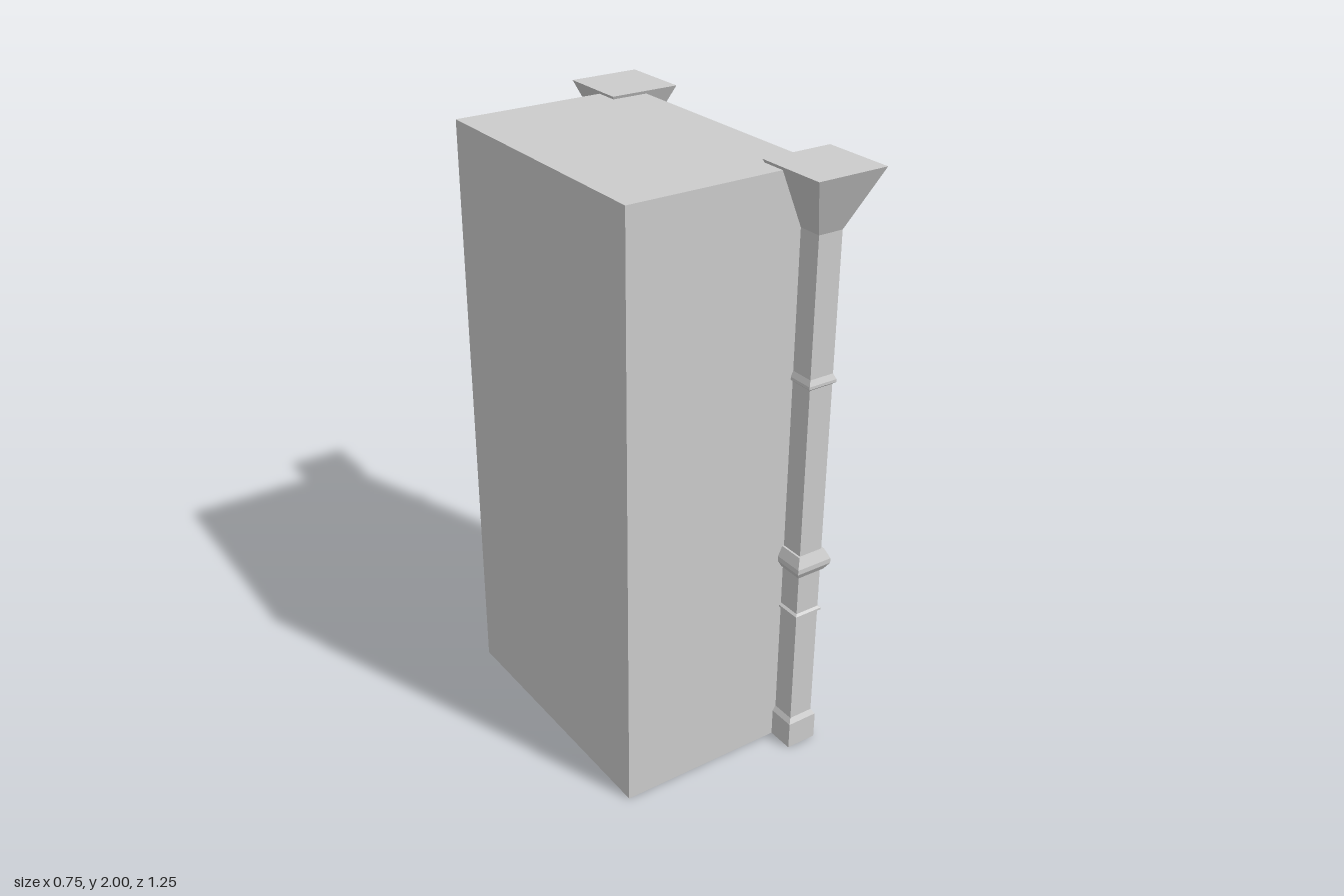
import * as THREE from 'three';

export function createModel() {
  const model = new THREE.Group();
  const mat = new THREE.MeshStandardMaterial({ color: 0xcccccc, flatShading: true });

  const add = (name, geometry) => {
    const mesh = new THREE.Mesh(geometry, mat);
    mesh.name = name;
    model.add(mesh);
    return mesh;
  };
  // Box given by its limits on each axis
  const box = (name, x0, x1, y0, y1, z0, z1) =>
    add(name, new THREE.BoxGeometry(x1 - x0, y1 - y0, z1 - z0))
      .position.set((x0 + x1) / 2, (y0 + y1) / 2, (z0 + z1) / 2);
  const trace = (path, half, y0, y1) => {
    path.moveTo(-half, y0);
    path.lineTo(half, y0);
    path.lineTo(half, y1);
    path.lineTo(-half, y1);
    path.closePath();
    return path;
  };

  const back = -0.38, inner = -0.02, front = 0.26;
  const halfWidth = 0.4675, top = 1.99;

  // Solid rear of the cabinet
  box('cabinetBack', back, inner, 0, top, -halfWidth, halfWidth);

  // Front frame with the shelf opening and the door opening
  const frame = trace(new THREE.Shape(), halfWidth, 0, top);
  frame.holes.push(
    trace(new THREE.Path(), 0.413, 0.725, 1.755),
    trace(new THREE.Path(), 0.405, 0.07, 0.61)
  );
  const frameGeometry = new THREE.ExtrudeGeometry(frame, { depth: front - inner, bevelEnabled: false });
  frameGeometry.rotateY(Math.PI / 2);
  add('cabinetFrame', frameGeometry).position.x = inner;

  // Shelves, set back from the frame
  for (const y of [0.965, 1.235, 1.505]) box('shelf', inner, 0.215, y, y + 0.025, -0.413, 0.413);

  // Pair of recessed doors with a groove and small latch between them
  box('leftDoor', inner, 0.243, 0.07, 0.61, -0.405, -0.0075);
  box('rightDoor', inner, 0.243, 0.07, 0.61, 0.0075, 0.405);
  box('doorGroove', inner, 0.228, 0.07, 0.61, -0.0075, 0.0075);
  box('latch', 0.225, 0.24, 0.318, 0.342, -0.0075, 0.0075);

  // Square columns: half-width and height pairs from plinth to flared capital
  const profile = [
    [0, 0], [0.054, 0], [0.054, 0.095], [0.043, 0.112],
    [0.043, 0.517], [0.051, 0.519], [0.051, 0.526], [0.043, 0.532],
    [0.043, 0.675], [0.05, 0.675], [0.065, 0.7], [0.065, 0.717], [0.05, 0.75], [0.043, 0.75],
    [0.043, 1.328], [0.051, 1.335], [0.051, 1.344], [0.043, 1.362],
    [0.043, 1.81], [0.122, 2], [0, 2]
  ].map(([half, y]) => new THREE.Vector2(half * Math.SQRT2, y));
  const columnGeometry = new THREE.LatheGeometry(profile, 4, Math.PI / 4);
  for (const side of [-1, 1]) {
    add(side > 0 ? 'rightColumn' : 'leftColumn', columnGeometry).position.set(0.253, 0, side * 0.504);
  }

  return model;
}
